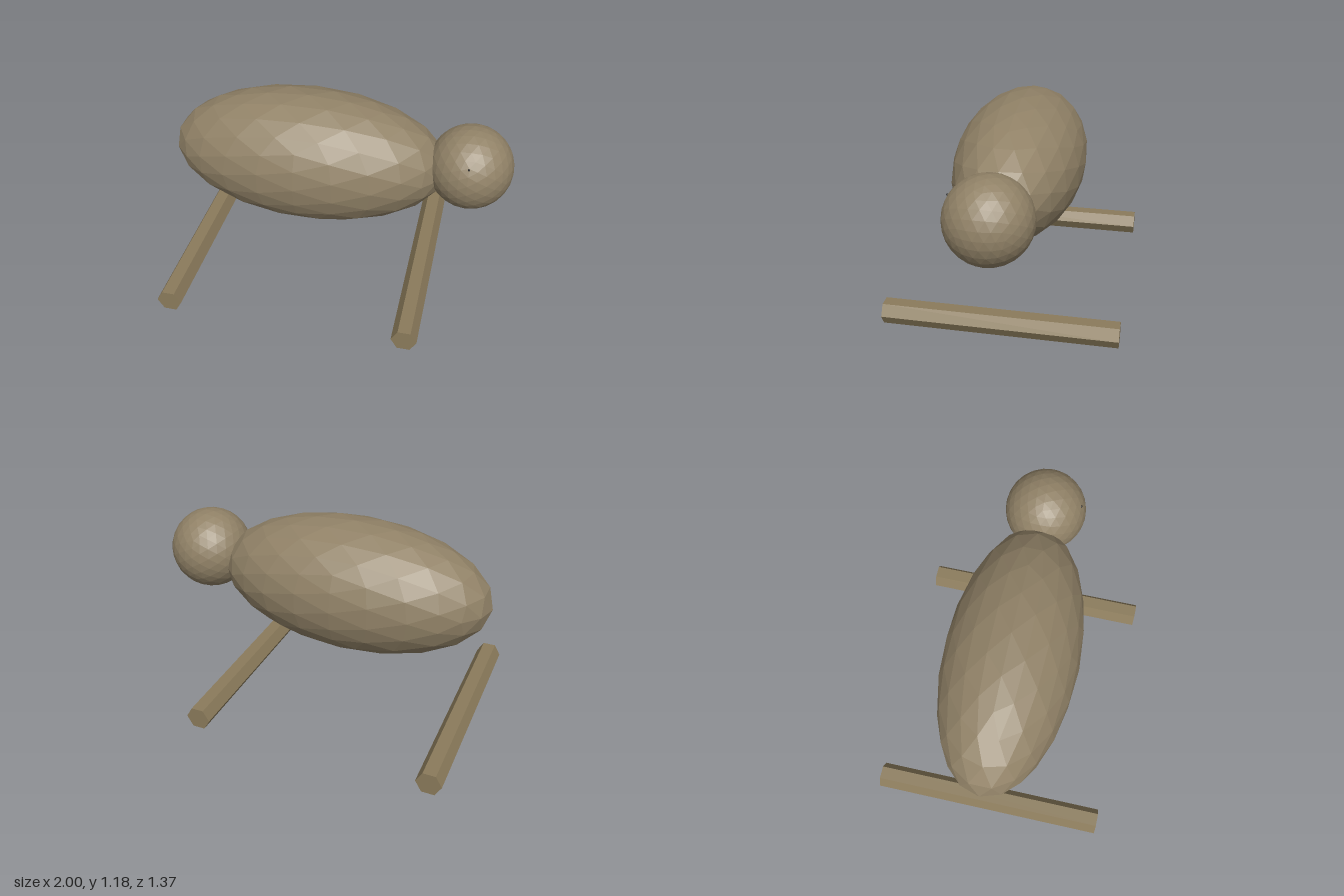
import * as THREE from 'three';

const bodyMat = new THREE.MeshStandardMaterial({ color: 0x918267, flatShading: true });
const woodMat = new THREE.MeshStandardMaterial({ color: 0x8b7b5b, flatShading: true });
const eyeMat = new THREE.MeshStandardMaterial({ color: 0x222222, flatShading: true });

function add(group, name, geometry, material, x, y, z) {
  const mesh = new THREE.Mesh(geometry, material);
  mesh.name = name;
  mesh.position.set(x, y, z);
  group.add(mesh);
  return mesh;
}

export function createModel() {
  const model = new THREE.Group();
  model.name = 'animalOnRails';

  // Faceted egg-shaped body, stretched along x
  const body = new THREE.IcosahedronGeometry(1, 3).scale(0.815, 0.39, 0.39);
  add(model, 'body', body, bodyMat, -0.185, 0.79, 0);

  // Round head at the +x end, with one tiny eye on its +z side
  add(model, 'head', new THREE.IcosahedronGeometry(0.243, 4), bodyMat, 0.757, 0.838, 0);
  add(model, 'eye', new THREE.IcosahedronGeometry(0.006, 1), eyeMat, 0.755, 0.96, 0.211);

  // Two six-sided rails lying along z, flat side down
  for (const [name, x] of [['rearRail', -0.89], ['frontRail', 0.52]]) {
    const rail = new THREE.CylinderGeometry(0.074, 0.074, 1.37, 6)
      .rotateY(Math.PI / 2)
      .rotateX(Math.PI / 2);
    add(model, name, rail, woodMat, x, 0.064, 0);
  }
  return model;
}
